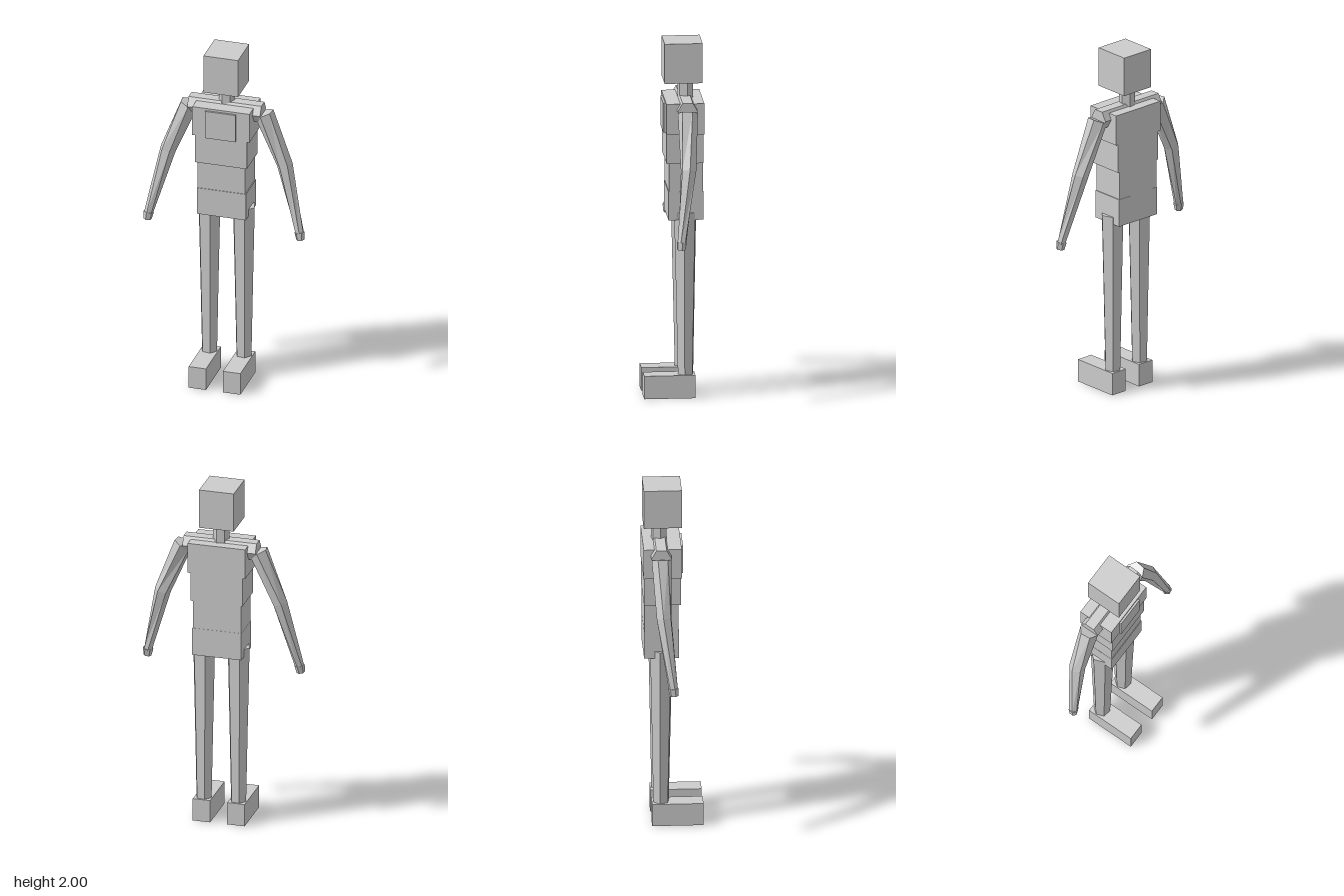
import * as THREE from 'three';

export function createModel() {
  const group = new THREE.Group();
  group.name = 'blockFigure';
  const grey = new THREE.MeshStandardMaterial({ color: 0xcccccc });
  grey.name = 'light grey';

  const add = (name, geometry) => {
    const mesh = new THREE.Mesh(geometry, grey);
    mesh.name = name;
    group.add(mesh);
    return mesh;
  };

  // Box given by its limits on each axis
  const box = (name, x0, x1, y0, y1, z0, z1) =>
    add(name, new THREE.BoxGeometry(x1 - x0, y1 - y0, z1 - z0))
      .position.set((x0 + x1) / 2, (y0 + y1) / 2, (z0 + z1) / 2);

  // Tapered six-sided limb through a list of [x, y, z, radius] joints,
  // with the ring at each joint mitred so the segments meet
  const limb = (name, joints, spin = 0) => {
    const points = joints.map(([x, y, z]) => new THREE.Vector3(x, y, z));
    const dirs = points.slice(1).map((p, i) => p.clone().sub(points[i]).normalize());
    const up = new THREE.Vector3(0, 1, 0);
    const rings = points.map((p, i) => {
      const d = dirs[Math.max(i - 1, 0)].clone().add(dirs[Math.min(i, dirs.length - 1)]).normalize();
      const q = new THREE.Quaternion().setFromUnitVectors(up, d);
      return Array.from({ length: 6 }, (_, k) => {
        const a = spin + (k * Math.PI) / 3;
        const r = joints[i][3];
        return new THREE.Vector3(r * Math.sin(a), 0, r * Math.cos(a)).applyQuaternion(q).add(p);
      });
    });
    const out = [];
    const tri = (...corners) => corners.forEach((v) => out.push(v.x, v.y, v.z));
    const last = rings.length - 1;
    for (let k = 0; k < 6; k++) {
      const n = (k + 1) % 6;
      for (let i = 0; i < last; i++) {
        const a = rings[i], b = rings[i + 1];
        tri(a[k], a[n], b[n]);
        tri(a[k], b[n], b[k]);
      }
      tri(points[0], rings[0][n], rings[0][k]);
      tri(points[last], rings[last][k], rings[last][n]);
    }
    const geometry = new THREE.BufferGeometry();
    geometry.setAttribute('position', new THREE.Float32BufferAttribute(out, 3));
    geometry.computeVertexNormals();
    add(name, geometry);
  };

  // Head and neck
  box('head', -0.104, 0.095, 1.775, 2, -0.161, 0.049);
  limb('neck', [[-0.006, 1.64, -0.073, 0.045], [-0.006, 1.79, -0.073, 0.045]], 0.7);

  // Stacked torso blocks
  box('chest', -0.17, 0.159, 1.5, 1.675, -0.165, 0.045);
  box('chestPlate', -0.094, 0.081, 1.497, 1.662, 0.03, 0.056);
  box('ribs', -0.154, 0.143, 1.333, 1.5, -0.162, 0.042);
  box('waist', -0.146, 0.129, 1.17, 1.333, -0.16, 0.028);
  box('pelvis', -0.147, 0.134, 1.01, 1.17, -0.161, 0.031);

  // Shoulder bar across the upper chest
  limb('shoulderBar', [[-0.217, 1.64, -0.069, 0.057], [0.202, 1.64, -0.069, 0.057]]);

  const c = -0.005; // centre line of the body
  for (const [side, s] of [['left', 1], ['right', -1]]) {
    // Bent arm, ending in a short blunt hand
    limb(side + 'Arm', [
      [c + s * 0.214, 1.635, -0.069, 0.055],
      [c + s * 0.336, 1.338, -0.062, 0.045],
      [c + s * 0.436, 0.948, -0.016, 0.025],
    ]);
    limb(side + 'Hand', [
      [c + s * 0.434, 0.958, -0.016, 0.029],
      [c + s * 0.44, 0.915, -0.012, 0.023],
    ], 0.3);
    // Tapered leg and block foot
    limb(side + 'Leg', [
      [c + s * 0.099, 1.052, -0.064, 0.067],
      [c + s * 0.099, 0.58, -0.065, 0.056],
      [c + s * 0.099, 0.12, -0.066, 0.046],
    ], (40 * Math.PI) / 180);
    const f = c + s * 0.099;
    box(side + 'Foot', f - 0.05, f + 0.05, 0, 0.13, -0.117, 0.166);
  }
  return group;
}
